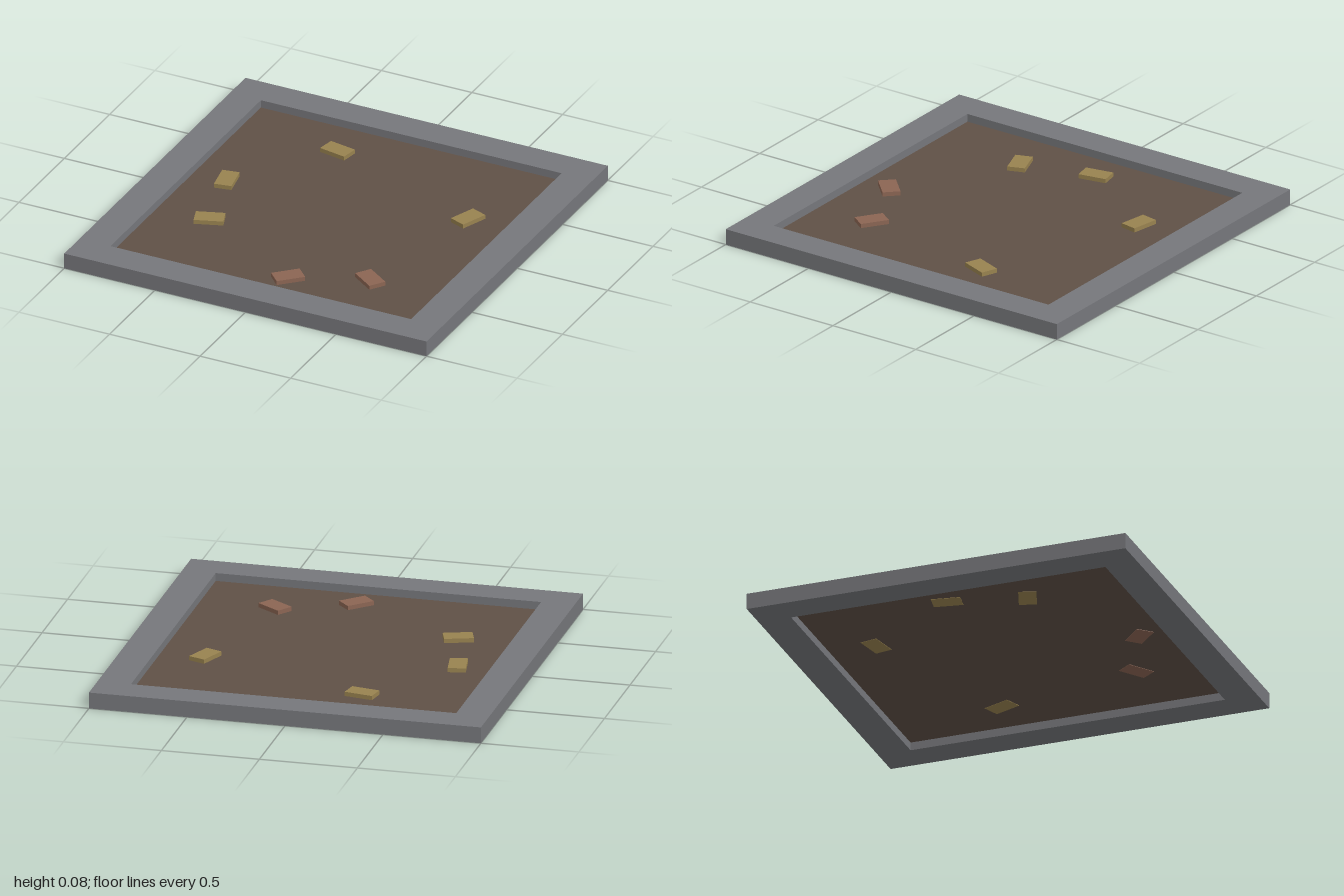
import * as THREE from 'three';

const mat = (name, color, side = THREE.FrontSide) => {
  const m = new THREE.MeshStandardMaterial({ color, side });
  m.name = name;
  return m;
};

export function createModel() {
  const stone = mat('grey stone', 0x76777b);
  const soil = mat('brown soil', 0x5f5046, THREE.DoubleSide);
  const yellow = mat('yellow leaf', 0x98824f);
  const red = mat('red leaf', 0x8b6553);

  const group = new THREE.Group();
  const add = (name, geometry, material) => {
    const mesh = new THREE.Mesh(geometry, material);
    mesh.name = name;
    group.add(mesh);
    return mesh;
  };

  const height = 0.083, inner = 0.83, floorY = 0.042;

  // Square border with an open middle
  const square = (Type, r) => new Type([[-r, -r], [r, -r], [r, r], [-r, r]]
    .map(([x, y]) => new THREE.Vector2(x, y)));
  const outline = square(THREE.Shape, 1);
  outline.holes.push(square(THREE.Path, inner));
  const border = new THREE.ExtrudeGeometry(outline, { depth: height, bevelEnabled: false });
  border.rotateX(-Math.PI / 2);
  add('border', border, stone);

  // Thin sheet of soil halfway up the border
  const sheet = new THREE.PlaneGeometry(inner * 2, inner * 2).rotateX(-Math.PI / 2);
  add('soil', sheet, soil).position.y = floorY;

  // Scattered leaves: x, z, turn about y, material
  const leaf = new THREE.BoxGeometry(0.148, 0.024, 0.09);
  [
    [-0.286, -0.588, -0.18, yellow],
    [0.599, -0.26, 1.2, yellow],
    [-0.642, -0.078, -1.39, yellow],
    [-0.543, 0.31, 0.34, yellow],
    [0.444, 0.51, -0.61, red],
    [0.07, 0.668, 0.77, red],
  ].forEach(([x, z, turn, material], i) => {
    const mesh = add(`leaf${i + 1}`, leaf, material);
    mesh.position.set(x, floorY + 0.01, z);
    mesh.rotation.y = turn;
  });

  return group;
}
